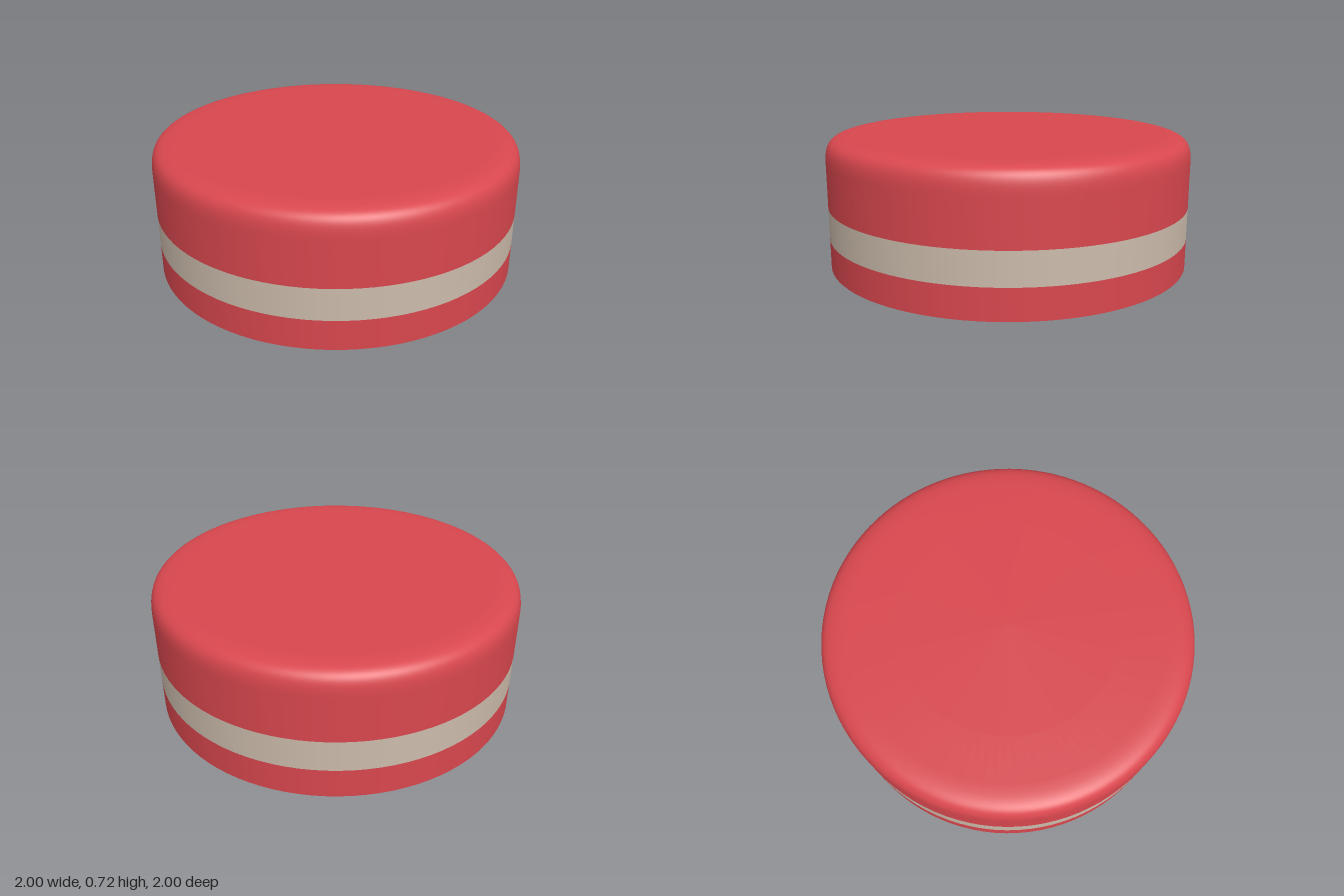
import * as THREE from 'three';

const SEGMENTS = 96;
const HEIGHT = 0.717;
const BAND_BOTTOM = 0.163;
const BAND_TOP = 0.335;

export function createModel() {
  const group = new THREE.Group();
  group.name = 'openRoundCap';

  const red = new THREE.MeshStandardMaterial({ color: 0xd8474e, side: THREE.DoubleSide });
  red.name = 'red';
  const beige = new THREE.MeshStandardMaterial({ color: 0xcbbbab, side: THREE.DoubleSide });
  beige.name = 'beige';

  // Revolves a profile, listed from bottom to top, into a thin shell
  const addShell = (name, points, material) => {
    const mesh = new THREE.Mesh(new THREE.LatheGeometry(points, SEGMENTS), material);
    mesh.name = name;
    group.add(mesh);
  };
  const wall = (y0, y1) => [new THREE.Vector2(1, y0), new THREE.Vector2(1, y1)];

  // Straight side wall with a contrasting stripe, open underneath
  addShell('lowerRim', wall(0, BAND_BOTTOM), red);
  addShell('stripe', wall(BAND_BOTTOM, BAND_TOP), beige);

  // Upper wall, rounded shoulder and very slightly domed lid
  const shoulder = new THREE.CubicBezierCurve(
    new THREE.Vector2(1, 0.58),
    new THREE.Vector2(1, 0.69),
    new THREE.Vector2(0.97, 0.713),
    new THREE.Vector2(0.84, 0.715)
  );
  addShell('lid', [
    new THREE.Vector2(1, BAND_TOP),
    ...shoulder.getPoints(16),
    new THREE.Vector2(0.6, HEIGHT),
    new THREE.Vector2(0, HEIGHT)
  ], red);

  return group;
}
